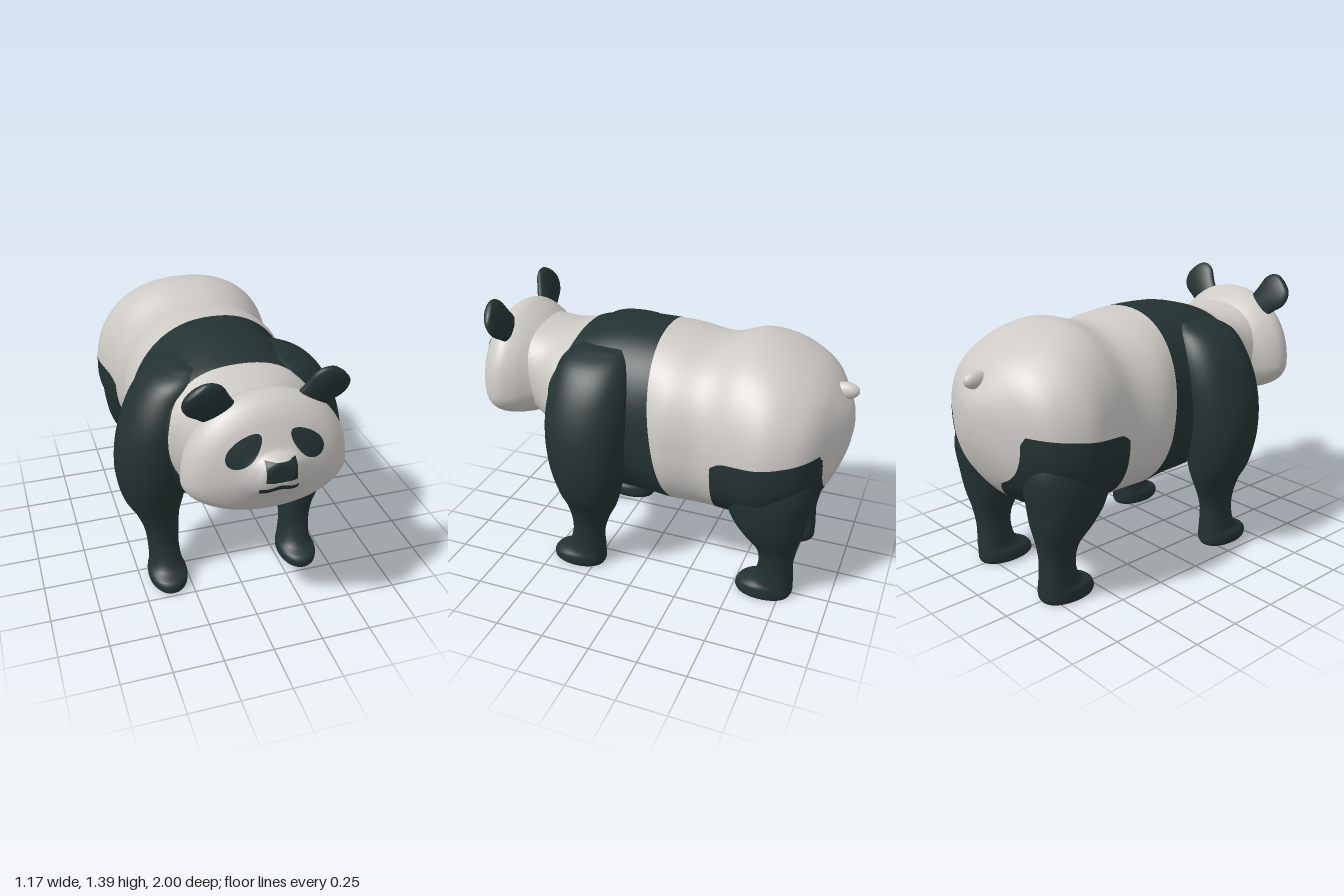
import * as THREE from 'three';

const fur = new THREE.MeshStandardMaterial({ color: 0xcdcac6 });
fur.name = 'pale fur';
const dark = new THREE.MeshStandardMaterial({ color: 0x243232 });
dark.name = 'dark fur';

// Smooth closed skin through cross-sections.
// Row: [position along axis, centre x, half width, low, middle, high]; axis is 'z' or 'y'.
function loft(rows, axis, around = 48, along = 60, power = 2.25) {
  const curve = (k) => new THREE.CatmullRomCurve3(
    rows.map((r) => new THREE.Vector3(r[k], r[k + 1], r[k + 2])), false, 'catmullrom', 0.5);
  const size = curve(0), span = curve(3);
  const pos = [], index = [];
  const put = (u, v, s) => (axis === 'z' ? pos.push(u, v, s) : pos.push(u, s, v));
  const tri = (a, b, c) => (axis === 'z' ? index.push(a, b, c) : index.push(a, c, b));
  const bend = (c) => Math.sign(c) * Math.pow(Math.abs(c), 2 / power);
  for (let i = 0; i <= along; i++) {
    const a = size.getPoint(i / along), b = span.getPoint(i / along);
    for (let j = 0; j < around; j++) {
      const t = (j / around) * Math.PI * 2;
      const v = bend(Math.sin(t));
      put(a.y + a.z * bend(Math.cos(t)), b.y + v * (v > 0 ? b.z - b.y : b.y - b.x), a.x);
    }
  }
  for (let i = 0; i < along; i++) {
    for (let j = 0; j < around; j++) {
      const p = i * around + j, q = i * around + (j + 1) % around;
      tri(p, q, p + around);
      tri(q, q + around, p + around);
    }
  }
  // End caps
  const first = rows[0], last = rows[rows.length - 1];
  const base = (along + 1) * around;
  put(first[1], first[4], first[0]);
  put(last[1], last[4], last[0]);
  for (let j = 0; j < around; j++) {
    const k = (j + 1) % around, top = along * around;
    tri(base, k, j);
    tri(base + 1, top + j, top + k);
  }
  const geo = new THREE.BufferGeometry();
  geo.setAttribute('position', new THREE.Float32BufferAttribute(pos, 3));
  geo.setIndex(index);
  geo.computeVertexNormals();
  return geo;
}

// Cut a skin along field = 0 and keep the side with the given sign.
function cut(geo, field, sign) {
  const P = geo.attributes.position, N = geo.attributes.normal, I = geo.index;
  const pos = [], nor = [];
  const corner = (k) => {
    const p = new THREE.Vector3().fromBufferAttribute(P, k);
    return { p, n: new THREE.Vector3().fromBufferAttribute(N, k), f: sign * field(p.x, p.y, p.z) };
  };
  for (let t = 0; t < I.count; t += 3) {
    const tri = [0, 1, 2].map((k) => corner(I.getX(t + k)));
    const poly = [];
    tri.forEach((a, k) => {
      const b = tri[(k + 1) % 3];
      if (a.f >= 0) poly.push(a);
      if ((a.f >= 0) !== (b.f >= 0)) {
        const m = a.f / (a.f - b.f);
        poly.push({ p: a.p.clone().lerp(b.p, m), n: a.n.clone().lerp(b.n, m).normalize() });
      }
    });
    for (let k = 1; k + 1 < poly.length; k++) {
      for (const v of [poly[0], poly[k], poly[k + 1]]) {
        pos.push(v.p.x, v.p.y, v.p.z);
        nor.push(v.n.x, v.n.y, v.n.z);
      }
    }
  }
  const out = new THREE.BufferGeometry();
  out.setAttribute('position', new THREE.Float32BufferAttribute(pos, 3));
  out.setAttribute('normal', new THREE.Float32BufferAttribute(nor, 3));
  return out;
}

function add(parent, name, geo, material) {
  const mesh = new THREE.Mesh(geo, material);
  mesh.name = name;
  parent.add(mesh);
  return mesh;
}

// Dark shoulder band and haunches (positive inside)
function bodyMarkings(x, y, z) {
  const front = 0.40 + 0.08 * THREE.MathUtils.smoothstep(1.24 - y, 0, 0.25);
  const back = -0.04 - 0.14 * Math.pow(THREE.MathUtils.clamp((1.3 - y) / 0.9, 0, 1), 1.5);
  const band = Math.min(front - z, z - back);
  const top = 0.84 - 0.12 * (z + 0.6) - 6 * Math.max(0, z + 0.48) ** 2;
  const haunch = Math.min(-0.40 - z, z + 0.905, top - y, 0.45 + 1.4 * Math.abs(x) - y);
  return Math.max(band, haunch);
}

// Eye patches, nose and mouth (positive inside)
function faceMarkings(x, y, z) {
  const ax = Math.abs(x), c = Math.cos(0.72), s = Math.sin(0.72);
  const dx = ax - 0.142, dy = y - 1.1;
  const u = dx * c - dy * s, v = dx * s + dy * c;
  const eye = 0.05 * (1 - Math.hypot(u / 0.096, v / (0.049 + 0.1 * u)));
  const nose = Math.min(0.07 - ax, y - 0.975, 1.072 - y, 0.155 - ax - Math.abs(y - 1.025));
  const lip = 0.932 + 0.012 * Math.cos(ax * 38);
  const mouth = Math.min(0.09 - ax, 0.013 - Math.abs(y - lip));
  return Math.min(Math.max(eye, nose, mouth), z - 0.84);
}

export function createModel() {
  const model = new THREE.Group();
  model.name = 'bear';

  // Torso and neck
  const torso = loft([
    [-0.99, 0, 0.03, 0.86, 0.9, 0.95],
    [-0.97, 0, 0.12, 0.75, 0.88, 1.01],
    [-0.92, 0, 0.25, 0.62, 0.85, 1.09],
    [-0.86, 0, 0.37, 0.53, 0.83, 1.16],
    [-0.78, 0, 0.45, 0.46, 0.8, 1.22],
    [-0.65, 0, 0.5, 0.42, 0.78, 1.28],
    [-0.5, 0, 0.475, 0.4, 0.78, 1.305],
    [-0.33, 0, 0.43, 0.385, 0.78, 1.26],
    [-0.15, 0, 0.445, 0.385, 0.8, 1.28],
    [0, 0, 0.41, 0.385, 0.8, 1.295],
    [0.2, 0, 0.41, 0.4, 0.8, 1.29],
    [0.36, 0, 0.42, 0.47, 0.85, 1.255],
    [0.46, 0, 0.38, 0.56, 0.92, 1.22],
    [0.56, 0, 0.31, 0.68, 0.95, 1.222],
    [0.7, 0, 0.28, 0.78, 1, 1.24],
  ], 'z', 72, 90);
  add(model, 'torso', cut(torso, bodyMarkings, -1), fur);
  add(model, 'torsoMarkings', cut(torso, bodyMarkings, 1), dark);

  // Head, widest at the jaw, tapering to the muzzle
  const head = loft([
    [0.56, 0, 0.26, 0.8, 0.95, 1.18],
    [0.62, 0, 0.3, 0.745, 0.93, 1.22],
    [0.69, 0, 0.355, 0.73, 0.915, 1.27],
    [0.76, 0, 0.385, 0.73, 0.91, 1.3],
    [0.82, 0, 0.37, 0.735, 0.915, 1.285],
    [0.87, 0, 0.32, 0.755, 0.93, 1.235],
    [0.905, 0, 0.245, 0.805, 0.95, 1.165],
    [0.935, 0, 0.165, 0.86, 0.965, 1.1],
    [0.965, 0, 0.11, 0.89, 0.985, 1.085],
    [0.99, 0, 0.08, 0.935, 1.0, 1.075],
    [1.0, 0, 0.055, 0.965, 1.015, 1.06],
  ], 'z', 128, 120, 2.1);
  add(model, 'head', cut(head, faceMarkings, -1), fur);
  add(model, 'faceMarkings', cut(head, faceMarkings, 1), dark);

  // Tail
  const tail = add(model, 'tail', new THREE.SphereGeometry(1, 20, 14), fur);
  tail.scale.set(0.036, 0.042, 0.065);
  tail.position.set(0, 1.08, -0.935);

  // Legs: [height, centre x, half width, back z, front z]
  const frontLeg = [
    [0, 0.36, 0.085, 0.21, 0.48], [0.02, 0.36, 0.098, 0.2, 0.49],
    [0.06, 0.36, 0.1, 0.2, 0.48], [0.1, 0.36, 0.085, 0.2, 0.41],
    [0.2, 0.365, 0.08, 0.2, 0.37], [0.3, 0.37, 0.09, 0.17, 0.37],
    [0.4, 0.385, 0.115, 0.12, 0.385], [0.5, 0.4, 0.155, 0.09, 0.41],
    [0.65, 0.4, 0.185, 0.06, 0.45], [0.8, 0.388, 0.19, 0.05, 0.47],
    [0.95, 0.35, 0.19, 0.04, 0.475], [1.08, 0.31, 0.17, 0.05, 0.45],
    [1.17, 0.27, 0.13, 0.08, 0.42], [1.22, 0.22, 0.07, 0.12, 0.35],
  ];
  const hindLeg = [
    [0, 0.27, 0.09, -0.8, -0.52], [0.02, 0.265, 0.1, -0.81, -0.51],
    [0.06, 0.265, 0.1, -0.81, -0.53], [0.1, 0.27, 0.085, -0.81, -0.6],
    [0.2, 0.275, 0.085, -0.805, -0.63], [0.3, 0.28, 0.1, -0.82, -0.61],
    [0.4, 0.285, 0.14, -0.845, -0.53], [0.5, 0.29, 0.165, -0.86, -0.47],
    [0.65, 0.29, 0.18, -0.88, -0.43], [0.78, 0.28, 0.16, -0.85, -0.46],
    [0.82, 0.28, 0.1, -0.8, -0.52],
  ];
  // Ear petal in its own frame: [height, half width, half depth]
  const ear = [
    [-0.05, 0.07, 0.025], [0, 0.076, 0.03], [0.07, 0.088, 0.034], [0.13, 0.102, 0.034],
    [0.175, 0.092, 0.03], [0.205, 0.062, 0.022], [0.215, 0.02, 0.008],
  ];

  for (const side of [1, -1]) {
    const label = side > 0 ? 'left' : 'right';
    const leg = (rows) => loft(
      rows.map(([y, x, w, b, f]) => [y, x * side, w, b, (b + f) / 2, f]), 'y', 40, 56, 2.15);
    add(model, label + 'FrontLeg', leg(frontLeg), dark);
    add(model, label + 'HindLeg', leg(hindLeg), dark);

    const earMesh = add(model, label + 'Ear',
      loft(ear.map(([y, w, d]) => [y, 0, w, -d, 0, d]), 'y', 32, 30, 2), dark);
    earMesh.position.set(0.19 * side, 1.205, 0.76);
    earMesh.rotation.set(0.3, 0, -0.74 * side);
  }
  return model;
}
